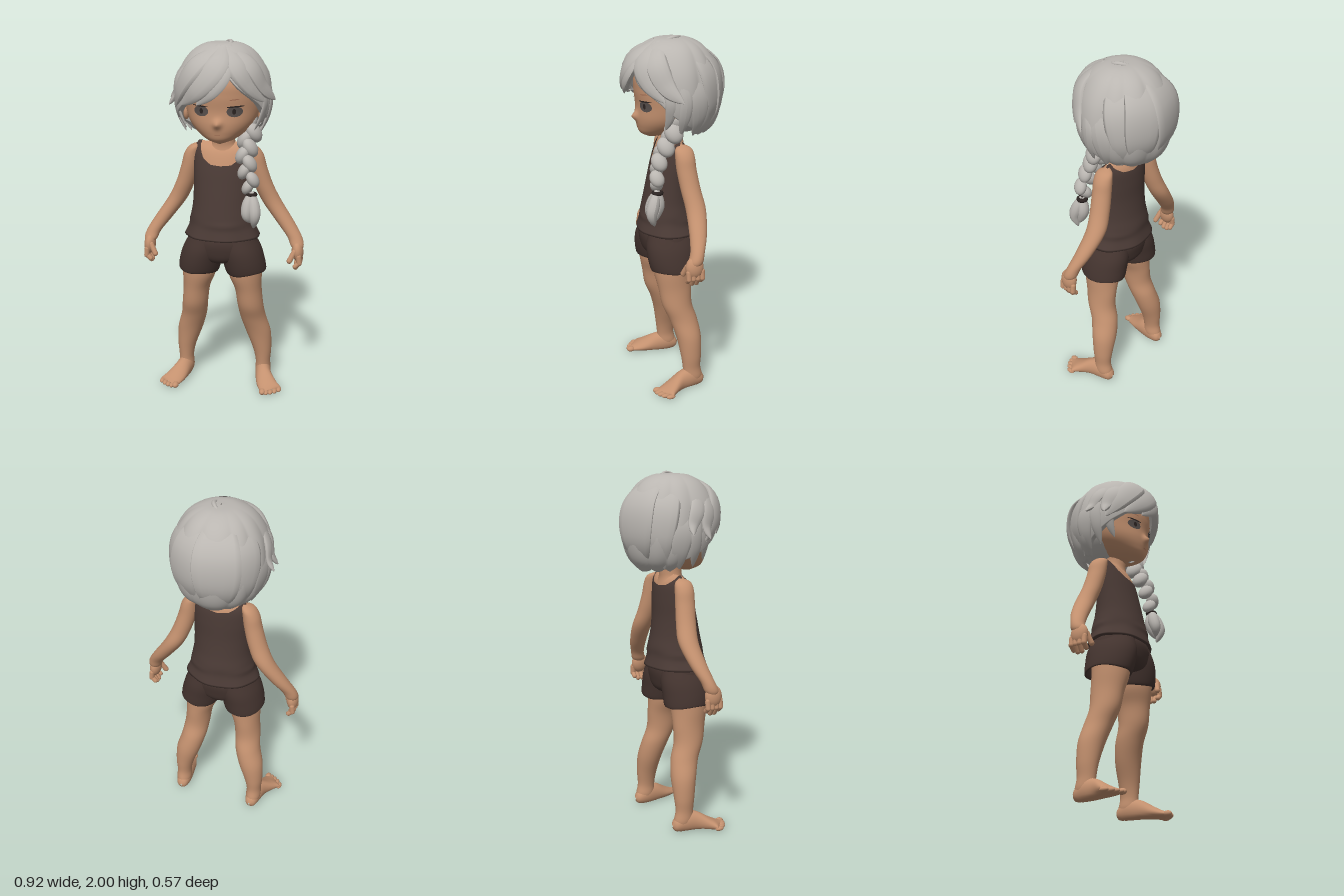
import * as THREE from 'three';

const mat = (name, color, double) => {
  const m = new THREE.MeshStandardMaterial({ color });
  m.name = name;
  if (double) m.side = THREE.DoubleSide;
  return m;
};
const V = (x, y, z) => new THREE.Vector3(x, y, z);
const rad = THREE.MathUtils.degToRad;
const signedDegrees = a => THREE.MathUtils.radToDeg(a > Math.PI ? a - 2 * Math.PI : a);
const bump = (x, centre, width) => Math.exp(-(((x - centre) / width) ** 2));

// Smooth table of rings [x, y, z, rx, rz], with lookup by falling height
function sampler(rows) {
  const c = new THREE.CatmullRomCurve3(rows.map(r => V(r[0], r[1], r[2])), false, 'catmullrom');
  const s = new THREE.CatmullRomCurve3(rows.map(r => V(r[3], r[4], 0)), false, 'catmullrom');
  const at = t => ({ c: c.getPoint(t), r: s.getPoint(t) });
  const tOfY = y => {
    let lo = 0, hi = 1;
    for (let i = 0; i < 22; i++) {
      const m = (lo + hi) / 2;
      if (c.getPoint(m).y > y) lo = m; else hi = m;
    }
    return (lo + hi) / 2;
  };
  return { at, tOfY };
}

// Piecewise linear lookup in [key, value] pairs
function lookup(table, k) {
  for (let i = 1; i < table.length; i++) {
    const [k0, v0] = table[i - 1], [k1, v1] = table[i];
    if (k <= k1) return v0 + (v1 - v0) * (k - k0) / (k1 - k0);
  }
  return table[table.length - 1][1];
}

// Closed-around surface from f(angle, v)
function surface(nu, nv, f) {
  const pos = [], idx = [];
  for (let j = 0; j <= nv; j++) for (let i = 0; i < nu; i++) pos.push(...f(i / nu * Math.PI * 2, j / nv).toArray());
  for (let j = 0; j < nv; j++) for (let i = 0; i < nu; i++) {
    const a = j * nu + i, b = j * nu + (i + 1) % nu;
    idx.push(a, a + nu, b, b, a + nu, b + nu);
  }
  const g = new THREE.BufferGeometry();
  g.setAttribute('position', new THREE.Float32BufferAttribute(pos, 3));
  g.setIndex(idx);
  g.computeVertexNormals();
  return g;
}
const ring = ({ c, r }, a, k = 1) => V(c.x + k * r.x * Math.sin(a), c.y, c.z + k * r.y * Math.cos(a));
const loft = (rows, nu = 28) => {
  const s = sampler(rows);
  return surface(nu, rows.length * 5, (a, v) => ring(s.at(v), a));
};
const mirrorRows = (rows, s) => rows.map(r => [r[0] * s, ...r.slice(1)]);

// Tapered tube, flattened towards a centre
function lockGeometry(points, width, flat, centre) {
  const n = 20, curve = new THREE.CatmullRomCurve3(points);
  const g = new THREE.TubeGeometry(curve, n, 1, 12, false), p = g.attributes.position, o = V(0, 0, 0);
  for (let i = 0; i < p.count; i++) {
    const u = Math.floor(i / 13) / n, c = curve.getPointAt(u);
    const out = c.clone().sub(centre).normalize();
    o.fromBufferAttribute(p, i).sub(c);
    o.addScaledVector(out, -o.dot(out) * (1 - flat));
    o.multiplyScalar(width * Math.pow(Math.sin(Math.PI * (0.06 + 0.935 * u)), 0.7)).add(c);
    p.setXYZ(i, o.x, o.y, o.z);
  }
  g.computeVertexNormals();
  return g;
}

const HEAD = sampler([
  [0, 1.95, 0, 0.01, 0.01], [0, 1.9, 0, 0.13, 0.13], [0, 1.8, 0, 0.2, 0.2], [0, 1.72, 0, 0.21, 0.208], [0, 1.64, 0, 0.205, 0.2],
  [0, 1.57, 0.02, 0.18, 0.183], [0, 1.52, 0.045, 0.138, 0.152], [0, 1.48, 0.08, 0.08, 0.1], [0, 1.455, 0.11, 0.01, 0.02]]);
const HAIR = sampler([
  [0, 1.99, 0, 0.004, 0.004], [0, 1.98, 0, 0.1, 0.1], [0, 1.93, 0, 0.18, 0.185], [0, 1.83, 0, 0.238, 0.246],
  [0, 1.7, -0.005, 0.26, 0.264], [0, 1.6, -0.01, 0.248, 0.25], [0, 1.52, -0.018, 0.21, 0.212], [0, 1.465, -0.03, 0.145, 0.145]]);
const TORSO = sampler([
  [0, 1.445, -0.005, 0.143, 0.012], [0, 1.42, 0, 0.158, 0.052], [0, 1.38, 0.005, 0.163, 0.078], [0, 1.3, 0.015, 0.164, 0.097],
  [0, 1.2, 0.025, 0.162, 0.112], [0, 1.1, 0.03, 0.166, 0.13], [0, 1.03, 0.03, 0.178, 0.145], [0, 0.98, 0.032, 0.184, 0.15],
  [0, 0.915, 0.032, 0.212, 0.167]]);
// Hair edge height by angle from the front, and shirt top by angle
const HEM = [[-180, 1.47], [-110, 1.48], [-88, 1.55], [-65, 1.62], [-45, 1.67], [-20, 1.71], [0, 1.76], [14, 1.82], [28, 1.77],
  [45, 1.71], [65, 1.63], [88, 1.56], [108, 1.49], [180, 1.47]];
const SHIRT_TOP = [[0, 1.325], [20, 1.33], [38, 1.362], [50, 1.42], [56, 1.445], [76, 1.445], [82, 1.39], [90, 1.31], [98, 1.39],
  [104, 1.445], [126, 1.445], [136, 1.42], [155, 1.39], [180, 1.38]];

export function createModel() {
  const model = new THREE.Group();
  const skin = mat('skin', 0xc4916f), hair = mat('hair', 0xbab6b1, true), shirt = mat('shirt', 0x4a3a35, true);
  const shorts = mat('shorts', 0x44342f, true), eye = mat('iris', 0x574f4c), dark = mat('lash', 0x2c2422), lip = mat('lip', 0xa87257);
  const add = (name, geo, m) => {
    const mesh = new THREE.Mesh(geo, m);
    mesh.name = name;
    model.add(mesh);
    return mesh;
  };
  const ball = (name, m, p, r, rotZ = 0, rotX = 0) => {
    const b = add(name, new THREE.SphereGeometry(1, 20, 14), m);
    b.position.set(...p); b.scale.set(...r); b.rotation.set(rotX, 0, rotZ);
  };
  const rod = (name, m, a, b, r) => {
    const d = b.clone().sub(a), c = add(name, new THREE.CapsuleGeometry(r, d.length(), 5, 10), m);
    c.position.copy(a).addScaledVector(d, 0.5);
    c.quaternion.setFromUnitVectors(V(0, 1, 0), d.normalize());
  };

  // Head with a small raised nose, and neck
  add('head', surface(96, 64, (a, v) => {
    const p = ring(HEAD.at(v), a);
    if (p.z > 0.1) p.z += 0.027 * bump(p.x, 0, 0.021) * bump(p.y, 1.575, 0.023);
    return p;
  }), skin);
  add('neck', loft([[0, 1.53, 0, 0.07, 0.07], [0, 1.46, 0, 0.064, 0.064], [0, 1.42, 0, 0.075, 0.062], [0, 1.38, 0, 0.12, 0.07]]), skin);

  // Flat face details that follow the head
  const decal = (name, m, x, y, w, h, tilt, lift) => {
    const g = new THREE.RingGeometry(0.001, 1, 20, 4);
    g.scale(w, h, 1).rotateZ(tilt).translate(x, y, 0);
    const p = g.attributes.position;
    for (let i = 0; i < p.count; i++) {
      const { c, r } = HEAD.at(HEAD.tOfY(p.getY(i)));
      p.setZ(i, c.z + r.y * Math.sqrt(Math.max(0, 1 - (p.getX(i) / r.x) ** 2)) + lift);
    }
    g.computeVertexNormals();
    add(name, g, m);
  };
  decal('mouth', lip, 0, 1.517, 0.016, 0.0025, 0, 0.003);

  for (const s of [1, -1]) {
    decal('eye', eye, s * 0.09, 1.642, 0.041, 0.029, 0, 0.003);
    decal('pupil', dark, s * 0.088, 1.642, 0.01, 0.015, 0, 0.005);
    decal('eyelash', dark, s * 0.094, 1.669, 0.044, 0.004, s * 0.05, 0.006);
    decal('eyebrow', lip, s * 0.09, 1.706, 0.026, 0.003, s * 0.1, 0.003);
    ball('ear', skin, [s * 0.208, 1.605, 0.0], [0.018, 0.045, 0.03]);

    // Arm and hand
    add('arm', loft(mirrorRows([
      [0.14, 1.432, -0.01, 0.01, 0.01], [0.16, 1.412, -0.01, 0.034, 0.045], [0.178, 1.37, -0.012, 0.046, 0.054],
      [0.193, 1.3, -0.016, 0.05, 0.055], [0.224, 1.2, -0.028, 0.053, 0.055], [0.272, 1.1, -0.04, 0.055, 0.055],
      [0.35, 0.99, -0.024, 0.05, 0.047], [0.406, 0.91, 0.0, 0.042, 0.038], [0.424, 0.86, 0.016, 0.036, 0.038],
      [0.43, 0.83, 0.022, 0.01, 0.01]], s)), skin);
    ball('palm', skin, [s * 0.427, 0.832, 0.024], [0.033, 0.06, 0.05], s * 0.1);
    for (let i = 0; i < 4; i++) {
      const z = 0.06 - i * 0.025, tip = 0.738 + (i === 0 || i === 3 ? 0.014 : 0);
      rod('finger', skin, V(s * 0.436, 0.81, z), V(s * 0.44, 0.772, z), 0.0155);
      rod('fingertip', skin, V(s * 0.44, 0.772, z), V(s * 0.418, tip, z), 0.014);
    }
    rod('thumb', skin, V(s * 0.412, 0.838, 0.058), V(s * 0.386, 0.787, 0.073), 0.0155);

    // Leg, foot and toes
    add('leg', loft(mirrorRows([
      [0.13, 0.82, 0.045, 0.095, 0.11], [0.132, 0.7, 0.045, 0.096, 0.106], [0.15, 0.6, 0.036, 0.077, 0.095],
      [0.162, 0.5, 0.027, 0.074, 0.086], [0.175, 0.41, -0.005, 0.074, 0.08], [0.203, 0.31, -0.028, 0.073, 0.072],
      [0.226, 0.2, -0.036, 0.055, 0.06], [0.232, 0.12, -0.038, 0.043, 0.052], [0.232, 0.06, -0.045, 0.044, 0.056],
      [0.232, 0.015, -0.05, 0.03, 0.04]], s)), skin);
    const foot = sampler(mirrorRows([
      [0.228, 0.035, -0.114, 0.006, 0.006], [0.23, 0.038, -0.095, 0.032, 0.036], [0.233, 0.05, -0.04, 0.045, 0.062],
      [0.245, 0.045, 0.03, 0.048, 0.058], [0.272, 0.028, 0.1, 0.06, 0.036], [0.294, 0.018, 0.15, 0.062, 0.022],
      [0.296, 0.014, 0.19, 0.044, 0.012]], s));
    add('foot', surface(28, 35, (a, v) => {
      const { c, r } = foot.at(v), x = c.x + r.x * Math.sin(a);
      return V(x, Math.max(0.004, c.y + r.y * Math.cos(a)), c.z - 0.8 * Math.max(0, s * x - 0.265) * v ** 4);
    }), skin);
    for (let i = 0; i < 5; i++) {
      const r = i ? 0.0125 : 0.0165;
      ball('toe', skin, [s * (0.256 + i * 0.0225), r, 0.18 - i * i * 0.0032], [r + 0.002, r, 0.026]);
    }

    // Shorts leg, hem rising outwards and turned in
    const leg = sampler(mirrorRows([
      [0.08, 0.93, 0.035, 0.095, 0.13], [0.103, 0.85, 0.038, 0.116, 0.145], [0.122, 0.78, 0.038, 0.119, 0.143],
      [0.136, 0.715, 0.033, 0.115, 0.134], [0.136, 0.716, 0.033, 0.102, 0.12], [0.135, 0.77, 0.036, 0.098, 0.115]], s));
    add('shortsLeg', surface(36, 40, (a, v) => {
      const p = ring(leg.at(v), a);
      p.y += 0.13 * v * (s * p.x - 0.136) + 0.006 * v * Math.sin(3 * a);
      return p;
    }), shorts);
  }

  // Torso and clothes
  add('chest', surface(40, 24, (a, v) => ring(TORSO.at(v * 0.6), a, 0.95)), skin);
  add('tankTop', surface(144, 40, (a, v) => {
    const y = THREE.MathUtils.lerp(lookup(SHIRT_TOP, Math.abs(signedDegrees(a))), 0.917, Math.min(1, v / 0.97));
    const fold = Math.max(0, 1.06 - y) * 0.1 * Math.sin(7 * a) + 0.02 * bump(y, 1.0, 0.018) * (1 + Math.sin(3 * a + 1));
    return ring(TORSO.at(TORSO.tOfY(y)), a, (v > 0.98 ? 0.9 : 1.01) + fold);
  }), shirt);
  add('shortsWaist', loft([[0, 0.96, 0.032, 0.17, 0.13], [0, 0.9, 0.036, 0.195, 0.15], [0, 0.84, 0.038, 0.205, 0.144],
    [0, 0.795, 0.037, 0.16, 0.13], [0, 0.77, 0.035, 0.07, 0.1], [0, 0.757, 0.03, 0.01, 0.04]], 40), shorts);

  // Hair shell, grooved into locks, parted in front and behind
  const hairPoint = (deg, y, k = 1) => ring(HAIR.at(HAIR.tOfY(y)), rad(deg), k);
  add('hairShell', surface(180, 36, (a, v) => {
    const d = signedDegrees(a);
    const wave = Math.abs(Math.sin(a * 5 + 0.5 + Math.sin(a * 3) * 0.8 + v * 0.7));
    const t = HAIR.tOfY(lookup(HEM, d) + 0.012 - 0.018 * wave) * Math.min(1, v / 0.96);
    const part = (bump(d, 10, 9) * 0.05 + bump(d, 168, 8) * 0.035) * Math.sin(Math.PI * v)
      + (bump(d, 38, 18) * 0.04 + bump(Math.abs(d), 125, 25) * 0.03) * v;
    return ring(HAIR.at(t), a, (0.985 + 0.045 * wave * Math.min(1, t * 2) - part) * (v > 0.98 ? 0.88 : 1));
  }), hair);
  ball('napeHair', hair, [0, 1.63, -0.05], [0.205, 0.16, 0.185]);

  // Loose locks: [angle, height, reach] along each, then width
  const core = V(0, 1.7, 0);
  const lock = (name, pts, w, flat = 0.35) => add(name, lockGeometry(pts.map(p => hairPoint(...p)), w, flat, core), hair);
  lock('fringe', [[10, 1.975, 0.9], [0, 1.88], [-22, 1.77], [-48, 1.67, 1.02]], 0.07);
  lock('fringe', [[12, 1.94, 0.95], [10, 1.85, 1.01], [-4, 1.76, 1.01], [-24, 1.68]], 0.045);
  lock('fringe', [[0, 1.975, 0.9], [-30, 1.88], [-52, 1.76], [-72, 1.64, 1.04]], 0.07);
  lock('fringe', [[18, 1.975, 0.9], [28, 1.88, 0.97], [42, 1.79, 0.96], [62, 1.69, 1.04]], 0.062);
  lock('fringe', [[25, 1.975, 0.9], [50, 1.88, 0.98], [66, 1.76], [82, 1.69, 1.12]], 0.06);
  lock('sideFlick', [[-40, 1.92, 0.95], [-64, 1.8], [-72, 1.7, 1.04], [-72, 1.655, 1.16]], 0.05);
  lock('sideFlick', [[-60, 1.92, 0.95], [-84, 1.8], [-92, 1.72, 1.04], [-94, 1.68, 1.16]], 0.045);
  for (const s of [1, -1]) {
    lock('sideLock', [[s * 62, 1.76], [s * 68, 1.68], [s * 66, 1.6, 0.97], [s * 58, 1.53, 1.0]], 0.028);
    lock('sideLock', [[s * 80, 1.82, 0.98], [s * 86, 1.7], [s * 84, 1.6], [s * 78, 1.5, 1.1]], 0.038);
    lock('sideLock', [[s * 92, 1.88, 0.94], [s * 102, 1.7, 0.98], [s * 104, 1.58, 0.98], [s * 98, 1.49, 1.08]], 0.06, 0.2);
    lock('backLock', [[s * 115, 1.97, 0.85], [s * 125, 1.83, 0.95], [s * 130, 1.64, 0.95], [s * 122, 1.49, 1]], 0.085, 0.22);
  }
  lock('backLock', [[-160, 1.975, 0.85], [-164, 1.84, 0.97], [-164, 1.64, 0.97], [-166, 1.475, 0.98]], 0.13, 0.16);
  lock('backLock', [[150, 1.975, 0.85], [154, 1.84, 0.96], [152, 1.64, 0.96], [158, 1.475, 0.98]], 0.1, 0.18);
  add('crownStrand', lockGeometry([V(-0.01, 1.975, -0.06), V(0.03, 1.99, -0.02), V(0.045, 1.988, 0.02), V(0.03, 1.97, 0.07)], 0.012, 0.8, core), hair);

  // Braid over the left shoulder
  const braid = new THREE.CatmullRomCurve3([V(0.165, 1.55, 0.03), V(0.147, 1.47, 0.065), V(0.142, 1.38, 0.115), V(0.16, 1.29, 0.142), V(0.177, 1.225, 0.148)]);
  for (let i = 0; i < 9; i++) {
    const p = braid.getPointAt(i / 8), s = i % 2 ? 1 : -1, k = 1 - i * 0.035;
    ball('braidStrand', hair, [p.x + s * 0.02, p.y, p.z + s * 0.005], [0.041 * k, 0.064 * k, 0.052 * k], s * 0.5, 0.35);
  }
  const tie = add('hairTie', new THREE.TorusGeometry(0.021, 0.012, 8, 18), dark);
  tie.position.set(0.178, 1.185, 0.146);
  tie.rotation.x = Math.PI / 2;
  for (const [x, z, y] of [[-0.018, 0.012, 1.03], [0.018, 0.016, 1.0], [0.0, -0.018, 1.02]])
    add('braidTail', lockGeometry([V(0.178, 1.2, 0.146), V(0.178 + x, 1.12, 0.158 + z), V(0.18 + x * 1.2, 1.07, 0.17 + z), V(0.188 + x * 0.3, y, 0.168)], 0.034, 0.95, core), hair);
  return model;
}
